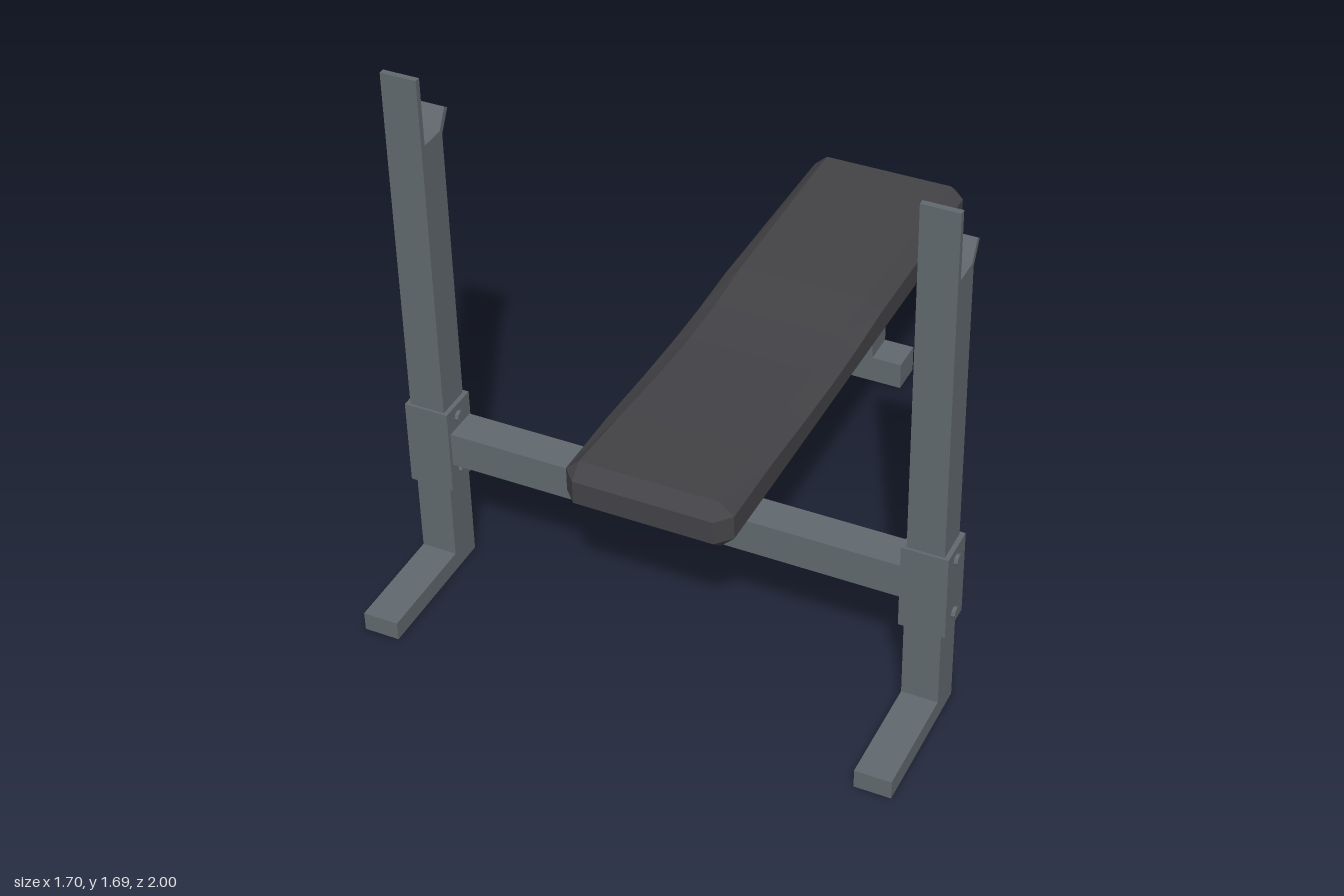
import * as THREE from 'three';

const steel = new THREE.MeshStandardMaterial({ color: 0x61696e, flatShading: true });
steel.name = 'grey steel';
const vinyl = new THREE.MeshStandardMaterial({ color: 0x434246, flatShading: true });
vinyl.name = 'dark vinyl';

function add(parent, name, geometry, material) {
  const mesh = new THREE.Mesh(geometry, material);
  mesh.name = name;
  parent.add(mesh);
  return mesh;
}

// Box given by its limits on each axis
function box(parent, name, [x0, x1], [y0, y1], [z0, z1]) {
  const mesh = add(parent, name, new THREE.BoxGeometry(x1 - x0, y1 - y0, z1 - z0), steel);
  mesh.position.set((x0 + x1) / 2, (y0 + y1) / 2, (z0 + z1) / 2);
  return mesh;
}

// Chamfered cushion lofted through eight-sided sections along z
function padGeometry() {
  // z, outer half width, inner half width, bottom, lower edge, upper edge, top
  const rows = [
    [-1, 0.215, 0.215, 0.545, 0.545, 0.62, 0.62],
    [-0.955, 0.257, 0.215, 0.505, 0.545, 0.622, 0.66],
    [-0.27, 0.257, 0.205, 0.505, 0.545, 0.622, 0.658],
    [-0.08, 0.257, 0.2, 0.505, 0.545, 0.61, 0.644],
    [0.1, 0.257, 0.2, 0.505, 0.545, 0.607, 0.639],
    [0.3, 0.257, 0.2, 0.505, 0.545, 0.612, 0.646],
    [0.52, 0.257, 0.205, 0.505, 0.545, 0.622, 0.657],
    [0.775, 0.257, 0.215, 0.505, 0.545, 0.622, 0.66],
    [0.82, 0.215, 0.215, 0.545, 0.545, 0.62, 0.62],
  ];
  const sections = rows.map(([z, w, wi, bottom, low, high, top]) => [
    [w, low, z], [w, high, z], [wi, top, z], [-wi, top, z],
    [-w, high, z], [-w, low, z], [-wi, bottom, z], [wi, bottom, z],
  ].map((p) => new THREE.Vector3(...p)));
  const points = [];
  const tri = (a, b, c) => {
    if (new THREE.Triangle(a, b, c).getArea() > 1e-7) points.push(a, b, c);
  };
  for (let i = 0; i < sections.length - 1; i++) {
    for (let j = 0; j < 8; j++) {
      const k = (j + 1) % 8;
      const s = sections[i], t = sections[i + 1];
      tri(s[j], s[k], t[k]);
      tri(s[j], t[k], t[j]);
    }
  }
  const back = sections[0], front = sections[sections.length - 1];
  for (let j = 1; j < 7; j++) {
    tri(front[0], front[j], front[j + 1]);
    tri(back[0], back[j + 1], back[j]);
  }
  const geometry = new THREE.BufferGeometry().setFromPoints(points);
  geometry.computeVertexNormals();
  return geometry;
}

// Side outline (z, y) of foot, post, tall stop plate and bar hook
function uprightGeometry() {
  const outline = [
    [0.55, 0], [1, 0], [1, 0.06], [0.66, 0.06], [0.66, 1.69], [0.642, 1.69],
    [0.642, 1.48], [0.562, 1.48], [0.529, 1.54], [0.514, 1.53], [0.55, 1.465],
  ].map((p) => new THREE.Vector2(...p));
  const width = 0.11;
  const geometry = new THREE.ExtrudeGeometry(new THREE.Shape(outline), { depth: width, bevelEnabled: false });
  geometry.translate(0, 0, -width / 2);
  geometry.rotateY(-Math.PI / 2);
  return geometry;
}

export function createModel() {
  const model = new THREE.Group();
  model.name = 'weightBench';

  add(model, 'pad', padGeometry(), vinyl);

  // Frame under the pad
  box(model, 'crossbar', [-0.71, 0.71], [0.4, 0.51], [0.545, 0.655]);
  box(model, 'spine', [-0.055, 0.055], [0.415, 0.508], [-0.72, 0.545]);
  box(model, 'rearLeg', [-0.055, 0.055], [0.09, 0.508], [-0.83, -0.72]);
  box(model, 'rearFoot', [-0.155, 0.155], [0, 0.092], [-0.83, -0.72]);

  // Uprights with bolted collars
  const post = uprightGeometry();
  const boltGeometry = new THREE.CylinderGeometry(0.018, 0.018, 0.16, 8).rotateZ(Math.PI / 2);
  for (const [side, sign] of [['left', 1], ['right', -1]]) {
    const upright = new THREE.Group();
    upright.name = side + 'Upright';
    upright.position.x = sign * 0.77;
    model.add(upright);
    add(upright, 'post', post, steel);
    box(upright, 'collar', [-0.069, 0.069], [0.312, 0.587], [0.54, 0.668]);
    for (const y of [0.36, 0.548]) {
      add(upright, 'bolt', boltGeometry, steel).position.set(0, y, 0.609);
    }
  }
  return model;
}
